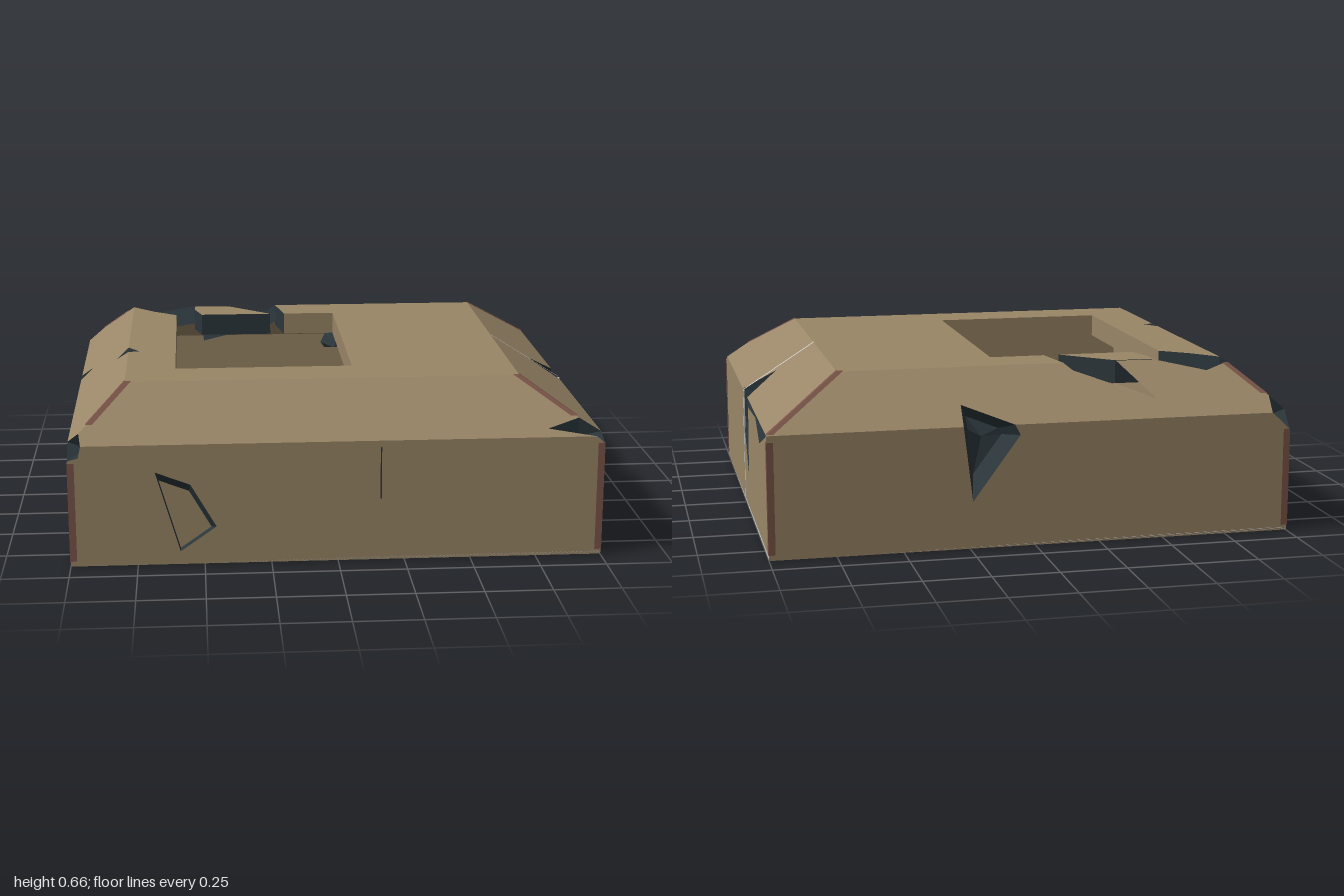
import * as THREE from 'three';

const W = 1, D = 0.89, SHOULDER = 0.465, TOP = 0.65;
const mat = (color) => new THREE.MeshStandardMaterial({ color, side: THREE.DoubleSide, flatShading: true });
const V = (x, y, z) => new THREE.Vector3(x, y, z);

export function createModel() {
  const root = new THREE.Group();
  const stone = mat(0x9a8667), dark = mat(0x2b363b), trim = mat(0x7a5448), grey = mat(0xcccccc);

  const add = (name, geo, material) => {
    const m = new THREE.Mesh(geo, material);
    m.name = name;
    root.add(m);
    return m;
  };
  const box = (name, material, sx, sy, sz, x, y, z) =>
    add(name, new THREE.BoxGeometry(sx, sy, sz), material).position.set(x, y, z);

  // flat outline in two coordinates, mapped onto a plane of the building
  const face = (name, material, map, outline, holes = []) => {
    const path = (pts) => pts.map((p) => new THREE.Vector2(...p));
    const shape = new THREE.Shape(path(outline));
    shape.holes = holes.map((h) => new THREE.Path(path(h)));
    const geo = new THREE.ShapeGeometry(shape);
    const pos = geo.attributes.position;
    for (let i = 0; i < pos.count; i++) {
      const v = map(pos.getX(i), pos.getY(i));
      pos.setXYZ(i, v.x, v.y, v.z);
    }
    geo.computeVertexNormals();
    return add(name, geo, material);
  };

  const triangles = (name, material, pts) => {
    const geo = new THREE.BufferGeometry().setFromPoints(pts);
    geo.computeVertexNormals();
    add(name, geo, material);
  };
  // band joining a line of points to its shifted copy
  const ribbon = (name, material, line, shift) => {
    const out = [];
    for (let i = 0; i + 1 < line.length; i++) {
      const a = line[i], b = line[i + 1], c = a.clone().add(shift), d = b.clone().add(shift);
      out.push(a, c, b, b, c, d);
    }
    triangles(name, material, out);
  };
  // broken pocket: rim drawn toward a point inside, closed with a floor
  const pocket = (name, rim, p, k, floor = dark) => {
    const inner = rim.map((r) => r.clone().lerp(p, k));
    const mid = inner.reduce((s, v) => s.add(v), V(0, 0, 0)).divideScalar(inner.length);
    const sides = [], base = [];
    rim.forEach((r, i) => {
      const j = (i + 1) % rim.length;
      sides.push(r, inner[i], rim[j], rim[j], inner[i], inner[j]);
      base.push(mid, inner[i], inner[j]);
    });
    triangles(name + 'Sides', dark, sides);
    if (k < 1) triangles(name + 'Floor', floor, base);
  };

  // planes of the building
  const onZ = (z) => (x, y) => V(x, y, z);
  const onX = (x) => (z, y) => V(x, y, z);
  const flat = (y) => (x, z) => V(x, y, z);
  const roof = (x, z) => V(x, SHOULDER + (TOP - SHOULDER) *
    Math.min(1, (D - Math.abs(z)) / 0.22, (x + 1) / 0.21, (1 - x) / 0.29), z);
  const roofLift = (x, z) => roof(x, z).add(V(0, 0.004, 0));

  // outer walls
  const panel = [[-0.68, 0.36], [-0.55, 0.31], [-0.455, 0.145], [-0.59, 0.05]];
  face('frontWall', stone, onZ(D), [[-1, 0], [1, 0], [1, 0.44], [0.97, 0.465], [-0.95, 0.465], [-0.96, 0.42], [-1, 0.41]], [panel]);
  face('backWall', stone, onZ(-D), [[-1, 0], [1, 0], [1, 0.465], [0.275, 0.465], [0.24, 0.18], [0.06, 0.425],
    [0.08, 0.465], [-0.93, 0.465], [-1, 0.4]]);
  face('leftWall', stone, onX(W), [[0.89, 0], [-0.89, 0], [-0.89, 0.465], [-0.62, 0.38], [-0.48, 0.45], [-0.18, 0.43],
    [-0.14, 0.15], [0.015, 0.33], [0.04, 0.465], [0.82, 0.465], [0.89, 0.44]]);
  face('rightWall', stone, onX(-W), [[-0.89, 0], [0.89, 0], [0.89, 0.41], [0.82, 0.465], [-0.1, 0.465], [-0.13, 0.36],
    [-0.17, 0.465], [-0.83, 0.465], [-0.89, 0.4]]);

  // sloping shoulders of the roof
  face('frontSlope', stone, roof, [[-0.95, 0.89], [0.97, 0.89], [0.79, 0.86], [0.913, 0.824], [0.71, 0.67], [-0.79, 0.67], [-0.958, 0.846]]);
  face('backSlope', stone, roof, [[-0.93, -0.89], [0.08, -0.89], [0.27, -0.81], [0.275, -0.89], [1, -0.89], [0.71, -0.67],
    [-0.16, -0.67], [-0.19, -0.7], [-0.49, -0.82], [-0.37, -0.67], [-0.52, -0.67], [-0.72, -0.72], [-0.81, -0.69], [-0.937, -0.824]]);
  face('leftSlope', stone, roof, [[0.913, 0.824], [1, 0.82], [1, 0.04], [0.87, -0.03], [1, -0.15], [1, -0.89], [0.71, -0.67], [0.71, 0.67]]);
  face('rightSlope', stone, roof, [[-1, 0.82], [-0.958, 0.846], [-0.79, 0.67], [-0.79, 0.185], [-0.84, 0.13], [-0.79, 0.11],
    [-0.79, -0.67], [-0.81, -0.69], [-0.937, -0.824], [-1, -0.83], [-1, -0.17], [-0.95, -0.13], [-1, -0.1]]);

  // roof slab with its opening and the broken back edge, plus the piece left standing
  const lip = [[-0.16, -0.67], [-0.13, -0.49], [0.085, -0.49], [0.085, 0.475], [-0.6, 0.475], [-0.6, -0.49], [-0.7, -0.57], [-0.79, -0.67]];
  const slab = [[-0.79, 0.11], [-0.745, 0.18], [-0.79, 0.185], [-0.79, 0.67], [0.71, 0.67], [0.71, -0.67], ...lip];
  const remnant = [[-0.52, -0.66], [-0.37, -0.66], [-0.19, -0.49], [-0.49, -0.49], [-0.52, -0.6]];
  for (const [name, y] of [['roof', TOP], ['ceiling', 0.56]]) {
    face(name, stone, flat(y), slab);
    face(name + 'Remnant', stone, flat(y), remnant);
  }
  const at = (pts, y) => pts.map(([x, z]) => V(x, y, z));
  const drop = V(0, -0.09, 0);
  ribbon('openingLip', stone, at(lip.slice(1, 6), TOP), drop);
  ribbon('brokenLipLeft', dark, at(lip.slice(0, 2), TOP), drop);
  ribbon('brokenLipRight', dark, at(lip.slice(5), TOP), drop);
  ribbon('remnantEdge', dark, at([...remnant, remnant[0]], TOP), drop);
  const rimOf = (pts) => pts.map(([x, z]) => roof(x, z));
  ribbon('brokenSlopeRight', dark, rimOf([[-0.79, -0.67], [-0.81, -0.69], [-0.72, -0.72], [-0.52, -0.67]]), V(0, -0.07, 0.04));
  ribbon('brokenSlopeLeft', dark, rimOf([[-0.49, -0.82], [-0.19, -0.7], [-0.16, -0.67]]), V(0.01, -0.06, 0.03));
  triangles('brokenShelf', stone, [V(-0.49, 0.524, -0.82), V(-0.19, 0.57, -0.69), V(-0.37, 0.56, -0.68)]);

  // inner room and base plate
  const x0 = -0.75, x1 = 0.17, z0 = -0.64, z1 = 0.63;
  const wall = (name, a, b, h) => ribbon(name, stone, [V(a[0], 0.01, a[1]), V(b[0], 0.01, b[1])], V(0, h, 0));
  wall('roomBack', [x0, z0], [x1, z0], 0.45);
  wall('roomFront', [x0, z1], [x1, z1], 0.55);
  wall('roomRight', [x0, z0], [x0, z1], 0.55);
  wall('roomLeft', [x1, z0], [x1, z1], 0.55);
  box('basePlate', grey, 2, 0.012, 2 * D, 0, 0.006, 0);

  // damage
  pocket('frontDent', panel.map(([x, y]) => V(x, y, D)), V(-0.59, 0.05, 0.6), 0.14, stone);
  pocket('sideBreach', [V(1, 0.465, 0.04), V(1, 0.33, 0.015), V(1, 0.15, -0.14), V(1, 0.43, -0.18), V(1, 0.465, -0.15),
    V(0.87, 0.548, -0.03)], V(0.7, 0.4, -0.11), 0.28, stone);
  pocket('sideCrack', [V(1, 0.465, -0.15), V(1, 0.43, -0.18), V(1, 0.45, -0.48), V(1, 0.38, -0.62), V(1, 0.465, -0.89)],
    V(0.7, 0.46, -0.5), 0.2);
  pocket('backBreach', [V(0.275, 0.465, -D), V(0.24, 0.18, -D), V(0.06, 0.425, -D), V(0.08, 0.465, -D), roof(0.27, -0.81)],
    V(0.2, 0.4, -0.7), 0.4);
  pocket('edgeChip', [V(-1, 0.465, -0.17), roof(-0.95, -0.13), V(-1, 0.465, -0.1), V(-1, 0.36, -0.13)], V(-0.93, 0.43, -0.13), 1);
  pocket('roofChip', [V(-0.79, TOP, 0.11), roof(-0.84, 0.13), V(-0.79, TOP, 0.185), V(-0.745, TOP, 0.18)], V(-0.77, 0.59, 0.15), 1);
  pocket('frontLeftChip', [V(0.97, 0.465, D), roof(0.79, 0.86), roof(0.913, 0.824), V(1, 0.465, 0.82), V(1, 0.44, D)],
    V(0.91, 0.45, 0.83), 1);
  pocket('frontRightChip', [V(-0.95, 0.465, D), V(-0.96, 0.42, D), V(-1, 0.41, D), V(-1, 0.465, 0.82), roof(-0.958, 0.846)],
    V(-0.93, 0.44, 0.83), 1);
  pocket('backRightChip', [V(-0.93, 0.465, -D), V(-1, 0.4, -D), V(-1, 0.465, -0.83), roof(-0.937, -0.824)],
    V(-0.92, 0.43, -0.81), 1);

  // corner trim on walls and hips
  for (const sx of [-1, 1]) for (const sz of [-1, 1]) {
    const h = sx < 0 ? 0.38 : 0.42;
    box('cornerTrim', trim, 0.026, h, 0.026, sx * 0.989, 0.02 + h / 2, sz * 0.879);
    const run = sx < 0 ? 0.21 : 0.29;
    const hip = (t) => [sx * (1 - run * t), sz * (D - 0.22 * t)];
    const [a, b] = [hip(sx > 0 && sz < 0 ? 0 : 0.32), hip(sx < 0 && sz < 0 ? 0.88 : 1)];
    face('hipTrim', trim, roofLift, [a, b, [b[0] - sx * 0.025, b[1]], [a[0] - sx * 0.025, a[1]]]);
    face('hipTrim', trim, roofLift, [a, b, [b[0], b[1] - sz * 0.02], [a[0], a[1] - sz * 0.02]]);
  }

  // light strips, seam and side hatch
  box('sideStrip', grey, 0.006, 0.445, 0.014, 1, 0.2425, 0.005);
  face('slopeStrip', grey, roofLift, [[0.71, -0.004], [1, -0.004], [1, 0.01], [0.71, 0.01]]);
  box('lowStrip', grey, 0.006, 0.014, 1.7, -1, 0.085, 0.01);
  box('hatchFrame', grey, 0.008, 0.14, 0.09, -1, 0.09, 0);
  box('hatchPanel', dark, 0.01, 0.1, 0.05, -1, 0.09, 0);
  box('hatchPost', trim, 0.008, 0.15, 0.06, -1, 0.085, 0.08);
  box('frontSeam', dark, 0.005, 0.2, 0.004, 0.16, 0.34, D);
  for (const s of [-1, 1]) {
    box('baseSlot', dark, 0.03, 0.004, 0.2, 0.17, 0.001, s * 0.78);
    box('baseSlotStrip', grey, 0.014, 0.004, 0.2, 0.18, 0, s * 0.78);
  }
  return root;
}
